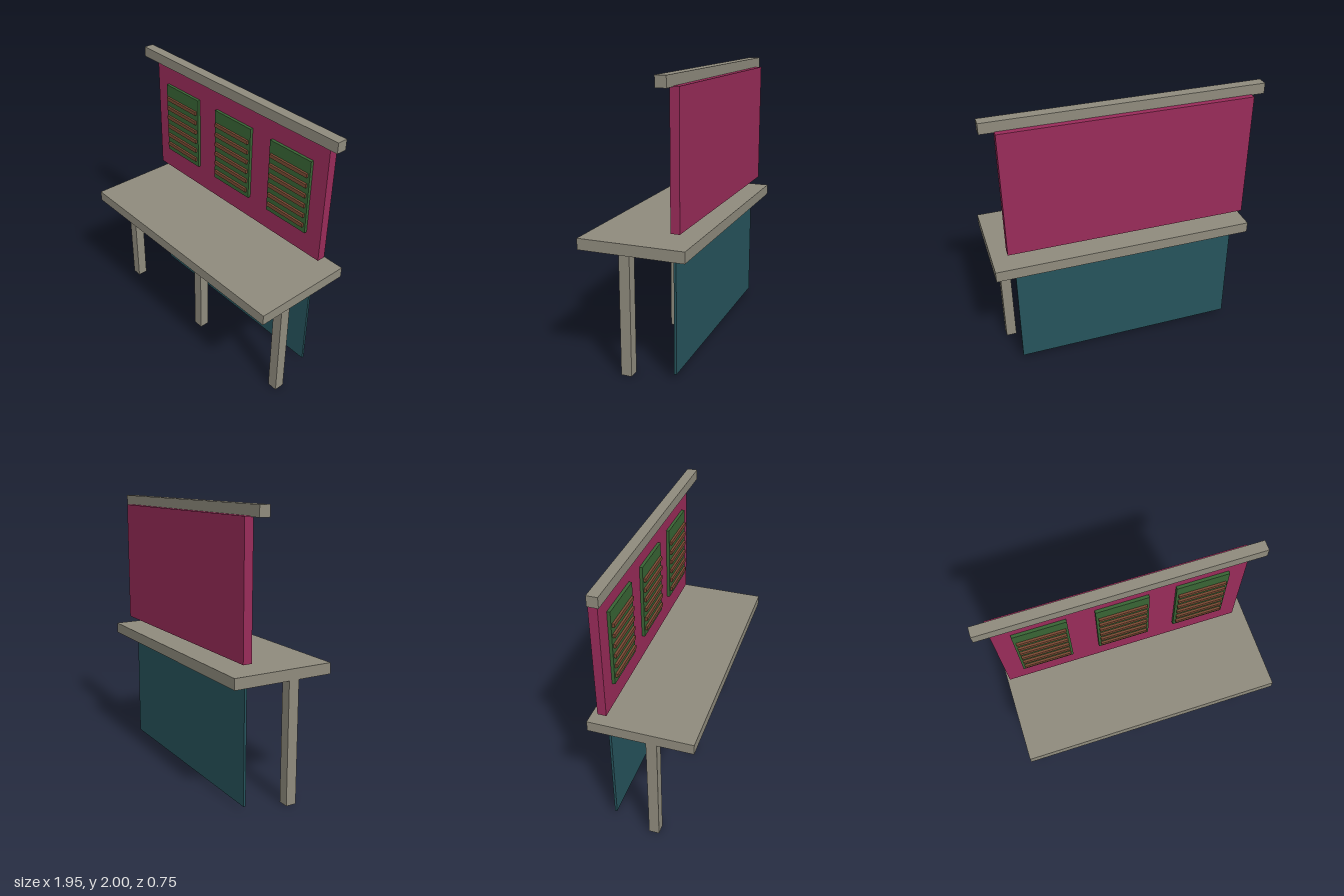
import * as THREE from 'three';

const material = (name, color) => {
  const m = new THREE.MeshStandardMaterial({ color });
  m.name = name;
  return m;
};

export function createModel() {
  const model = new THREE.Group();
  model.name = 'serviceCounter';

  const stone = material('warmGrey', 0x8f8b7d);
  const magenta = material('magenta', 0x992b59);
  const green = material('green', 0x386434);
  const brown = material('brown', 0x7a4a33);
  const teal = material('teal', 0x26535c);

  // Box given by its extents along each axis
  const box = (name, mat, [x0, x1], [y0, y1], [z0, z1], parent = model) => {
    const mesh = new THREE.Mesh(new THREE.BoxGeometry(x1 - x0, y1 - y0, z1 - z0), mat);
    mesh.name = name;
    mesh.position.set((x0 + x1) / 2, (y0 + y1) / 2, (z0 + z1) / 2);
    parent.add(mesh);
    return mesh;
  };

  // Counter top and its row of legs
  box('counterTop', stone, [-0.904, 0.973], [0.875, 0.953], [-0.372, 0.374]);
  for (const x of [-0.865, -0.004, 0.857]) {
    box('leg', stone, [x - 0.038, x + 0.038], [0, 0.875], [0.042, 0.118]);
  }

  // Thin modesty panel beneath the counter
  box('lowerPanel', teal, [-0.83, 0.822], [0.037, 0.85], [-0.252, -0.235]);

  // Upper wall board and the beam along its top
  box('wallBoard', magenta, [-0.882, 0.869], [1.022, 1.93], [-0.297, -0.234]);
  box('topBeam', stone, [-0.977, 0.965], [1.925, 2], [-0.255, -0.18]);

  // Three display panels, each with six slats
  for (const x of [-0.57, -0.004, 0.558]) {
    const display = new THREE.Group();
    display.name = 'displayPanel';
    model.add(display);
    box('panel', green, [x - 0.186, x + 0.186], [1.197, 1.758], [-0.234, -0.212], display);
    for (let i = 0; i < 6; i++) {
      const y = 1.257 + i * 0.0786;
      box('slat', brown, [x - 0.17, x + 0.17], [y - 0.014, y + 0.014], [-0.214, -0.196], display);
    }
  }
  return model;
}
